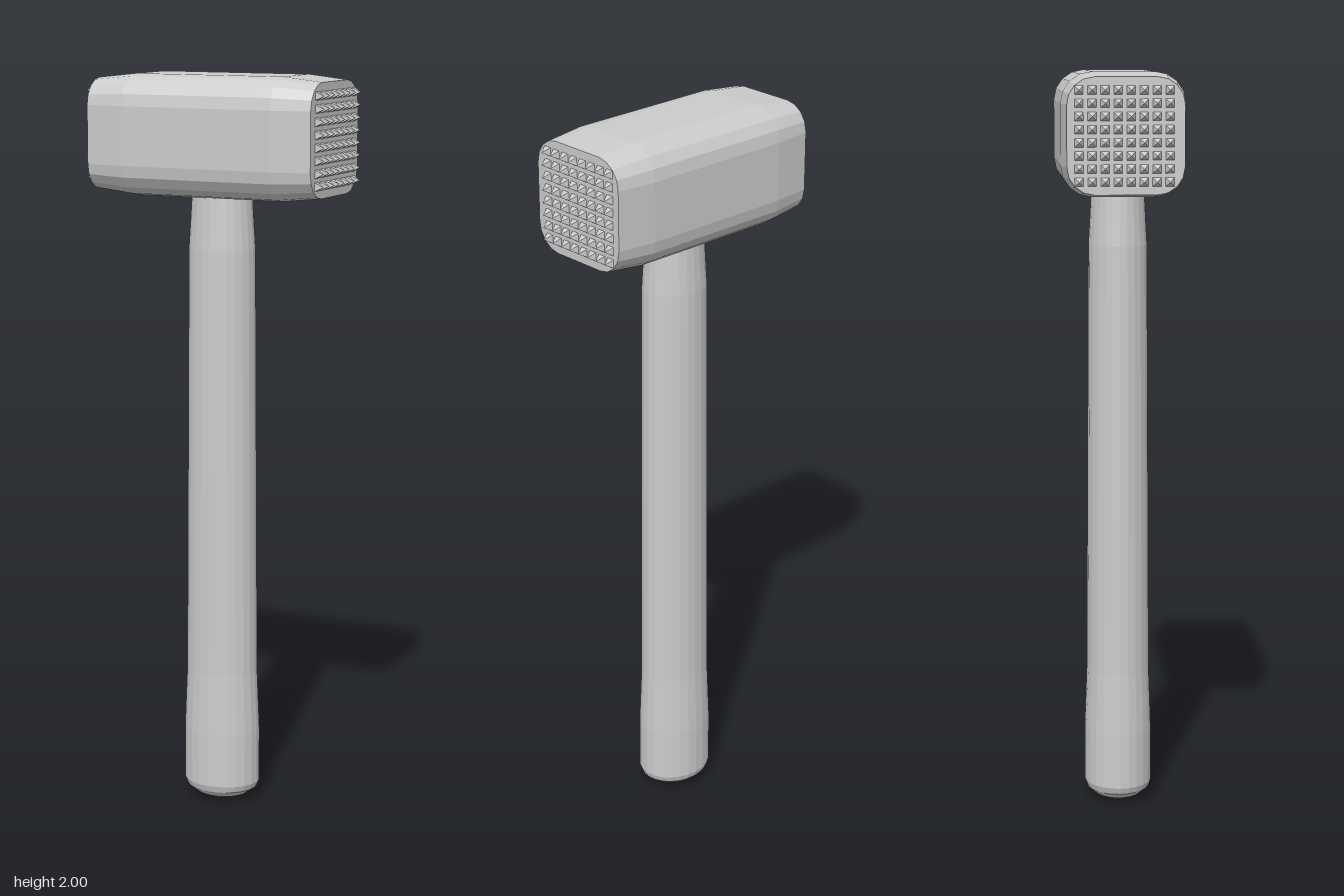
import * as THREE from 'three';
import { mergeGeometries } from 'three/addons/utils/BufferGeometryUtils.js';

const HEAD_Y = 1.84;
const FACE_X = 0.325;

// Rounded-square outline in the y/z plane, as [y, z] pairs
function roundedSquare(halfY, halfZ, radius, steps = 4) {
  const ring = [];
  for (let q = 0; q < 4; q++) {
    const sy = q === 0 || q === 3 ? 1 : -1;
    const sz = q < 2 ? 1 : -1;
    for (let i = 0; i <= steps; i++) {
      const a = (q + i / steps) * Math.PI / 2;
      ring.push([sy * (halfY - radius) + radius * Math.cos(a),
                 sz * (halfZ - radius) + radius * Math.sin(a)]);
    }
  }
  return ring;
}

// Head block lofted along x, tapering towards both striking faces
function headGeometry() {
  const end = roundedSquare(0.148, 0.15, 0.07);
  const mid = roundedSquare(0.16, 0.162, 0.082);
  const sections = [[-FACE_X, end], [-0.215, mid], [0.215, mid], [FACE_X, end]];
  const n = end.length;
  const positions = [], index = [];
  for (const [x, ring] of sections) {
    for (const [y, z] of ring) positions.push(x, y, z);
  }
  for (let s = 0; s < sections.length - 1; s++) {
    for (let i = 0; i < n; i++) {
      const a = s * n + i, b = s * n + (i + 1) % n;
      index.push(a, b, a + n, b, b + n, a + n);
    }
  }
  // Flat end faces
  const last = (sections.length - 1) * n;
  for (let i = 1; i < n - 1; i++) {
    index.push(0, i + 1, i);
    index.push(last, last + i, last + i + 1);
  }
  const g = new THREE.BufferGeometry();
  g.setAttribute('position', new THREE.Float32BufferAttribute(positions, 3));
  g.setIndex(index);
  return g;
}

// Grid of small square pyramids pointing along +x or -x
function spikeGeometry(side) {
  const count = 8, step = 0.0329, height = 0.021;
  const spikes = [];
  for (let r = 0; r < count; r++) {
    for (let c = 0; c < count; c++) {
      const g = new THREE.ConeGeometry(0.0155, height, 4, 1, true);
      g.rotateY(Math.PI / 4);
      g.rotateZ(-side * Math.PI / 2);
      g.translate(side * (FACE_X + height / 2),
        (r - (count - 1) / 2) * step,
        (c - (count - 1) / 2) * step - 0.004);
      spikes.push(g);
    }
  }
  return mergeGeometries(spikes);
}

// Oval handle with a swelling grip and a blunt rounded butt
function handleGeometry() {
  const profile = [
    [0, 0], [0.045, 0.003], [0.075, 0.015], [0.1, 0.034], [0.107, 0.052],
    [0.107, 0.2], [0.1, 0.37], [0.097, 0.8], [0.092, 1.54], [0.088, 1.6], [0.082, 1.7],
  ].map(([r, y]) => new THREE.Vector2(r, y));
  return new THREE.LatheGeometry(profile, 24).scale(1, 1, 0.86);
}

export function createModel() {
  const model = new THREE.Group();
  const material = new THREE.MeshStandardMaterial({ color: 0xcccccc, flatShading: true });
  const add = (name, geometry, y = 0) => {
    const mesh = new THREE.Mesh(geometry, material);
    mesh.name = name;
    mesh.position.y = y;
    model.add(mesh);
  };
  add('handle', handleGeometry());
  add('head', headGeometry(), HEAD_Y);
  add('leftSpikes', spikeGeometry(1), HEAD_Y);
  add('rightSpikes', spikeGeometry(-1), HEAD_Y);
  return model;
}
